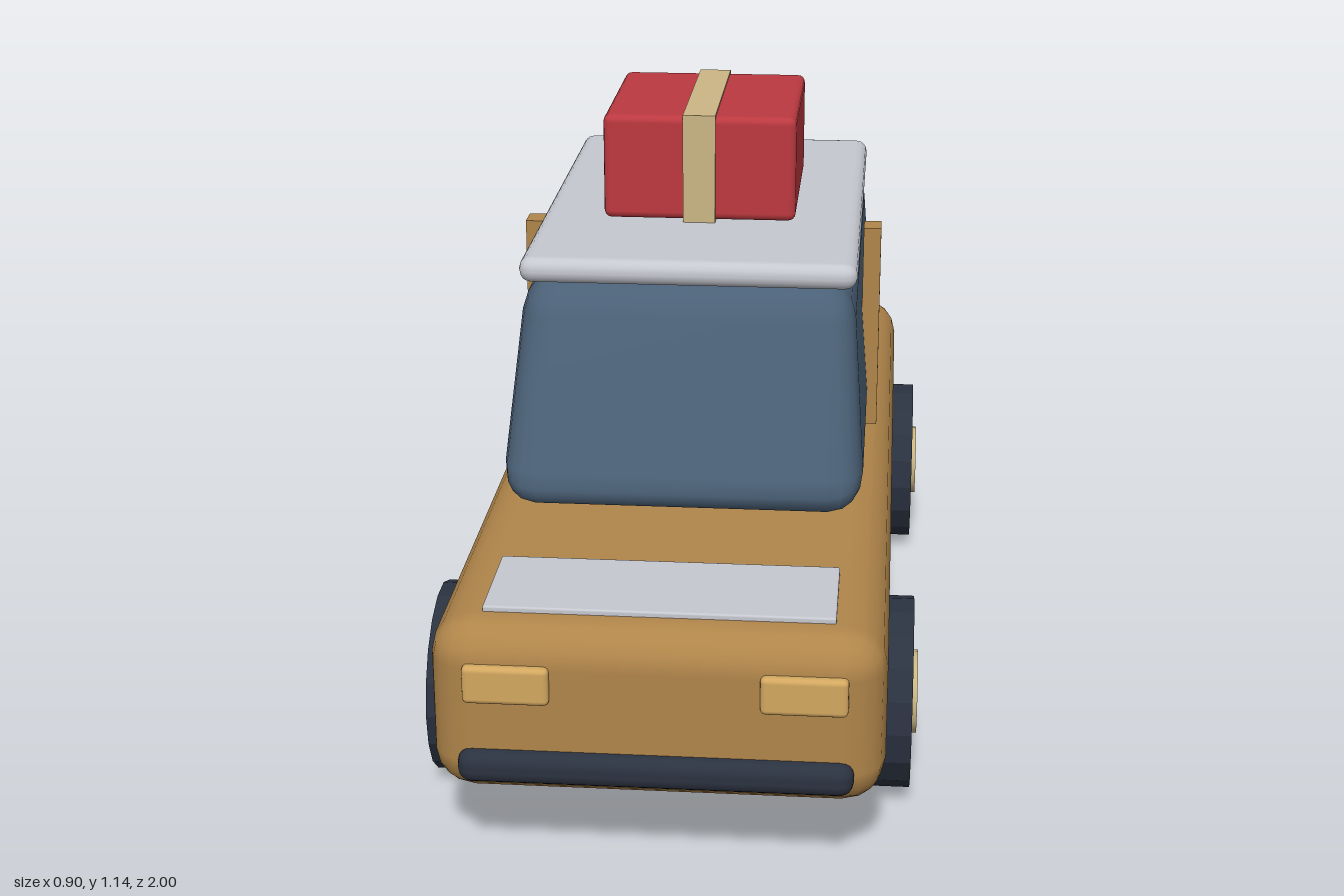
import * as THREE from 'three';
import { RoundedBoxGeometry } from 'three/addons/geometries/RoundedBoxGeometry.js';
import { mergeVertices } from 'three/addons/utils/BufferGeometryUtils.js';

const mat = (name, color, flatShading = false) => {
  const m = new THREE.MeshStandardMaterial({ color, flatShading });
  m.name = name;
  return m;
};

export function createModel() {
  const car = new THREE.Group();
  car.name = 'car';
  const paint = mat('ochre paint', 0xb0854a);
  const glass = mat('blue glass', 0x4a6076);
  const silver = mat('pale silver', 0xc6c8d0);
  const rubber = mat('dark rubber', 0x2b3240, true);
  const trim = mat('dark trim', 0x2b3240);
  const red = mat('red', 0xbc3940);
  const cream = mat('cream', 0xcbb684);
  const amber = mat('amber lamp', 0xd2a760);

  const add = (name, geometry, material) => {
    const mesh = new THREE.Mesh(geometry, material);
    mesh.name = name;
    car.add(mesh);
    return mesh;
  };

  // Box given by its extents on each axis, with optional rounded edges
  const boxGeometry = ([x0, x1], [y0, y1], [z0, z1], r = 0) => {
    const size = [x1 - x0, y1 - y0, z1 - z0];
    const g = r ? new RoundedBoxGeometry(...size, 2, r) : new THREE.BoxGeometry(...size);
    return g.translate((x0 + x1) / 2, (y0 + y1) / 2, (z0 + z1) / 2);
  };
  const box = (name, x, y, z, material, r) => add(name, boxGeometry(x, y, z, r), material);

  // Lower body and bonnet panel
  box('body', [-0.395, 0.395], [0.135, 0.46], [-0.975, 0.975], paint, 0.075);
  box('bonnetPanel', [-0.305, 0.305], [0.455, 0.47], [0.685, 0.9], silver, 0.004);

  // Cabin: rounded box narrowed towards the top, with a raked windscreen
  const y0 = 0.48, y1 = 0.885;
  let cabin = boxGeometry([-0.345, 0.345], [y0, y1], [-0.655, 0.52], 0.07);
  const p = cabin.attributes.position;
  for (let i = 0; i < p.count; i++) {
    const h = (p.getY(i) - y0) / (y1 - y0);
    p.setX(i, p.getX(i) * (1 - 0.095 * h));
    if (p.getZ(i) > 0) p.setZ(i, p.getZ(i) - 0.18 * h);
  }
  cabin.deleteAttribute('normal');
  cabin.deleteAttribute('uv');
  cabin = mergeVertices(cabin);
  cabin.computeVertexNormals();
  add('cabin', cabin, glass);

  // Roof and luggage
  box('roof', [-0.32, 0.32], [0.875, 0.925], [-0.655, 0.345], silver, 0.024);
  box('suitcase', [-0.19, 0.19], [0.928, 1.137], [-0.35, 0.062], red, 0.015);
  box('suitcaseStrap', [-0.032, 0.032], [0.925, 1.141], [-0.355, 0.067], cream);

  // Bumpers
  box('frontBumper', [-0.342, 0.342], [0.175, 0.235], [0.94, 1], trim, 0.025);
  box('rearBumper', [-0.342, 0.342], [0.175, 0.235], [-1, -0.94], trim, 0.025);

  // Parts mirrored left and right
  for (const s of [1, -1]) {
    const side = s > 0 ? 'left' : 'right';
    const span = (a, b) => (s > 0 ? [a, b] : [-b, -a]);
    box(side + 'Pillar', span(0.325, 0.36), [0.477, 0.896], [-0.075, -0.02], paint);
    box(side + 'Headlight', span(0.18, 0.33), [0.325, 0.395], [0.95, 0.988], amber, 0.01);
    box(side + 'TailLight', span(0.24, 0.346), [0.312, 0.377], [-0.985, -0.95], red, 0.01);

    for (const z of [0.585, -0.585]) {
      const end = z > 0 ? 'Front' : 'Rear';
      const wheel = (name, r, x0, x1, n, m) => {
        const g = new THREE.CylinderGeometry(r, r, x1 - x0, n).rotateZ(Math.PI / 2);
        add(side + end + name, g, m).position.set(s * (x0 + x1) / 2, 0.177, z);
      };
      wheel('Tyre', 0.177, 0.342, 0.441, 18, rubber);
      wheel('Hub', 0.077, 0.4, 0.451, 18, cream);
    }
  }
  return car;
}
